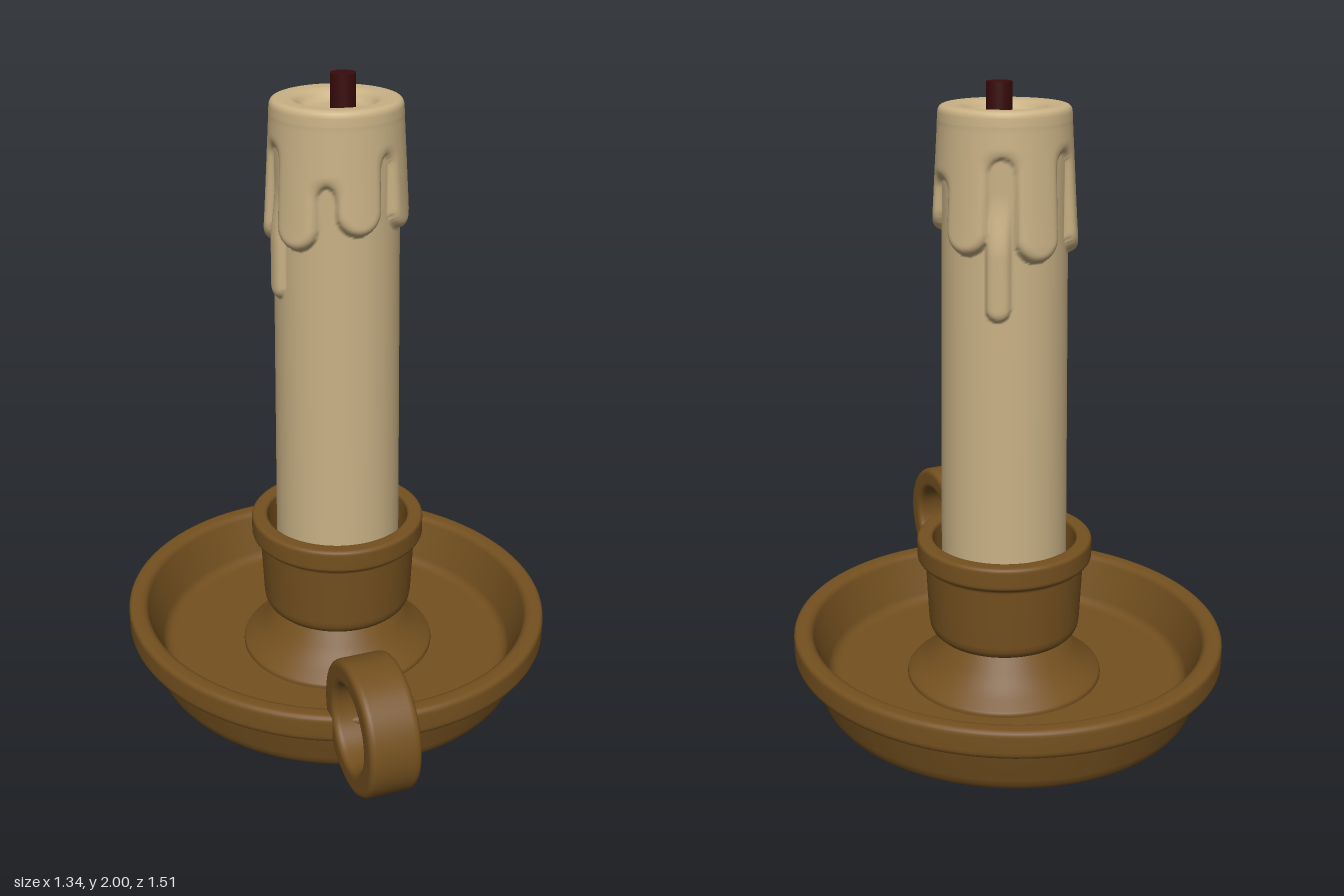
import * as THREE from 'three';

const brass = new THREE.MeshStandardMaterial({ color: 0x74501f });
brass.name = 'brown metal';
const wax = new THREE.MeshStandardMaterial({ color: 0xc9b185 });
wax.name = 'cream wax';
const char = new THREE.MeshStandardMaterial({ color: 0x3a0b0b });
char.name = 'dark red wick';

// Profile with each inner corner rounded; a corner is [radius, y, rounding]
function rounded(points, steps = 5) {
  const v = points.map((p) => new THREE.Vector2(p[0], p[1]));
  const out = [v[0]];
  for (let i = 1; i < v.length - 1; i++) {
    const c = v[i];
    const toA = v[i - 1].clone().sub(c);
    const toB = v[i + 1].clone().sub(c);
    const d = Math.min(points[i][2] ?? 0.015, toA.length() * 0.48, toB.length() * 0.48);
    const a = c.clone().addScaledVector(toA.normalize(), d);
    const b = c.clone().addScaledVector(toB.normalize(), d);
    out.push(...new THREE.QuadraticBezierCurve(a, c, b).getPoints(steps));
  }
  out.push(v[v.length - 1]);
  return out;
}

function turned(name, points, material, segments = 80) {
  const mesh = new THREE.Mesh(new THREE.LatheGeometry(rounded(points), segments), material);
  mesh.name = name;
  return mesh;
}

// Wax runs: angle in degrees from the front, height of the tip
const DRIPS = [[25, 1.56], [90, 1.52], [154, 1.5], [214, 1.5], [275, 1.52], [332, 1.57]];
// Gaps between them: angle, height of the arch
const GAPS = [[60, 1.73], [115, 1.8], [185, 1.81], [244, 1.81], [303, 1.72], [354, 1.8]];
// Thin long runs emerging below two of the gaps
const STREAKS = [[119, 1.33], [247, 1.35]];

const arc = (a, b) => {
  const d = Math.abs(a - b) % 360;
  return Math.min(d, 360 - d) * (Math.PI / 180) * 0.2;
};
const smin = (a, b, k) => {
  const h = Math.max(k - Math.abs(a - b), 0) / k;
  return Math.min(a, b) - h * h * k * 0.25;
};
// Distance to a vertical capsule running from its tip up to "top"
const capsule = (deg, y, [angle, tip], w, top) => {
  const cy = THREE.MathUtils.clamp(y, tip + w, top);
  return Math.hypot(arc(deg, angle), y - cy) - w;
};

function candleRadius(deg, y) {
  const core = 0.2 - 0.012 * THREE.MathUtils.clamp((y - 0.4) / 1.2, 0, 1);
  if (y < 1.28) return core;
  let gap = GAPS[0];
  for (const g of GAPS) if (arc(deg, g[0]) < arc(deg, gap[0])) gap = g;
  let d = 1;
  for (const drip of DRIPS) d = Math.min(d, capsule(deg, y, drip, 0.072, 1.95));
  d = smin(d, gap[1] - y, 0.05);
  const thick = 0.01 + 0.02 * THREE.MathUtils.clamp((1.88 - y) / 0.33, 0, 1);
  const bump = (dist, width) => {
    const t = THREE.MathUtils.clamp(-dist / width, 0, 1);
    return Math.sqrt(1 - (1 - t) * (1 - t));
  };
  let raise = thick * bump(d, 0.03);
  for (const s of STREAKS) {
    const fade = 1 - THREE.MathUtils.smoothstep(y, 1.52, 1.7);
    raise = Math.max(raise, 0.02 * fade * bump(capsule(deg, y, s, 0.038, 1.7), 0.03));
  }
  return core + raise;
}

// Candle side as a grid of rings, dense where the wax has run
function candleSide() {
  const rows = [0.3, 0.6, 0.9, 1.2];
  for (let i = 0; i <= 100; i++) rows.push(1.28 + (0.61 * i) / 100);
  const n = 200;
  const pos = [];
  const index = [];
  rows.forEach((y, j) => {
    for (let i = 0; i < n; i++) {
      const a = (i / n) * Math.PI * 2;
      const r = candleRadius((i / n) * 360, y);
      pos.push(Math.sin(a) * r, y, Math.cos(a) * r);
      if (j === 0) continue;
      const k = (i + 1) % n;
      const lo = (j - 1) * n;
      const hi = j * n;
      index.push(lo + i, lo + k, hi + k, lo + i, hi + k, hi + i);
    }
  });
  const g = new THREE.BufferGeometry();
  g.setAttribute('position', new THREE.Float32BufferAttribute(pos, 3));
  g.setIndex(index);
  g.computeVertexNormals();
  const mesh = new THREE.Mesh(g, wax);
  mesh.name = 'candleSide';
  return mesh;
}

export function createModel() {
  const model = new THREE.Group();
  model.name = 'candlestick';

  // Shallow dish with a thick rolled rim
  const dish = turned('dish', [
    [0, 0], [0.575, 0, 0.06], [0.622, 0.165, 0.012], [0.67, 0.175, 0.025], [0.67, 0.265, 0.02],
    [0.615, 0.265, 0.02], [0.555, 0.1, 0.03], [0, 0.1],
  ], brass, 112);
  dish.scale.z = 1.048;
  dish.position.z = -0.057;
  model.add(dish);

  // Flared foot and cup holding the candle
  const holder = new THREE.Group();
  holder.name = 'holder';
  holder.add(turned('foot', [
    [0.315, 0.09], [0.315, 0.112, 0.008], [0.25, 0.165, 0.05], [0.19, 0.25], [0.1, 0.26],
  ], brass));
  holder.add(turned('cup', [
    [0, 0.25], [0.24, 0.25, 0.05], [0.252, 0.5, 0.012], [0.278, 0.51, 0.018], [0.278, 0.583, 0.015],
    [0.228, 0.583, 0.012], [0.222, 0.45, 0.01], [0.15, 0.45],
  ], brass));
  holder.position.set(0.008, 0, -0.053);
  model.add(holder);

  // Ring handle standing on the rim
  const ring = turned('ringHandle', [
    [0.124, 0], [0.124, -0.077, 0.022], [0.198, -0.077, 0.022], [0.198, 0.077, 0.022],
    [0.124, 0.077, 0.022], [0.124, 0],
  ], brass, 64);
  ring.rotation.set(0, -0.5, Math.PI / 2);
  ring.position.set(-0.505, 0.317, 0.543);
  model.add(ring);

  // Candle with melted top and wick
  const candle = new THREE.Group();
  candle.name = 'candle';
  candle.add(candleSide());
  candle.add(turned('candleTop', [
    [0.198, 1.888], [0.195, 1.935, 0.035], [0.125, 1.932, 0.03], [0.1, 1.9, 0.02], [0, 1.895],
  ], wax, 100));
  const wick = new THREE.Mesh(new THREE.CylinderGeometry(0.038, 0.038, 0.12, 24), char);
  wick.name = 'wick';
  wick.position.set(0.025, 1.94, 0.003);
  candle.add(wick);
  candle.position.set(0.01, 0, -0.053);
  model.add(candle);

  return model;
}
